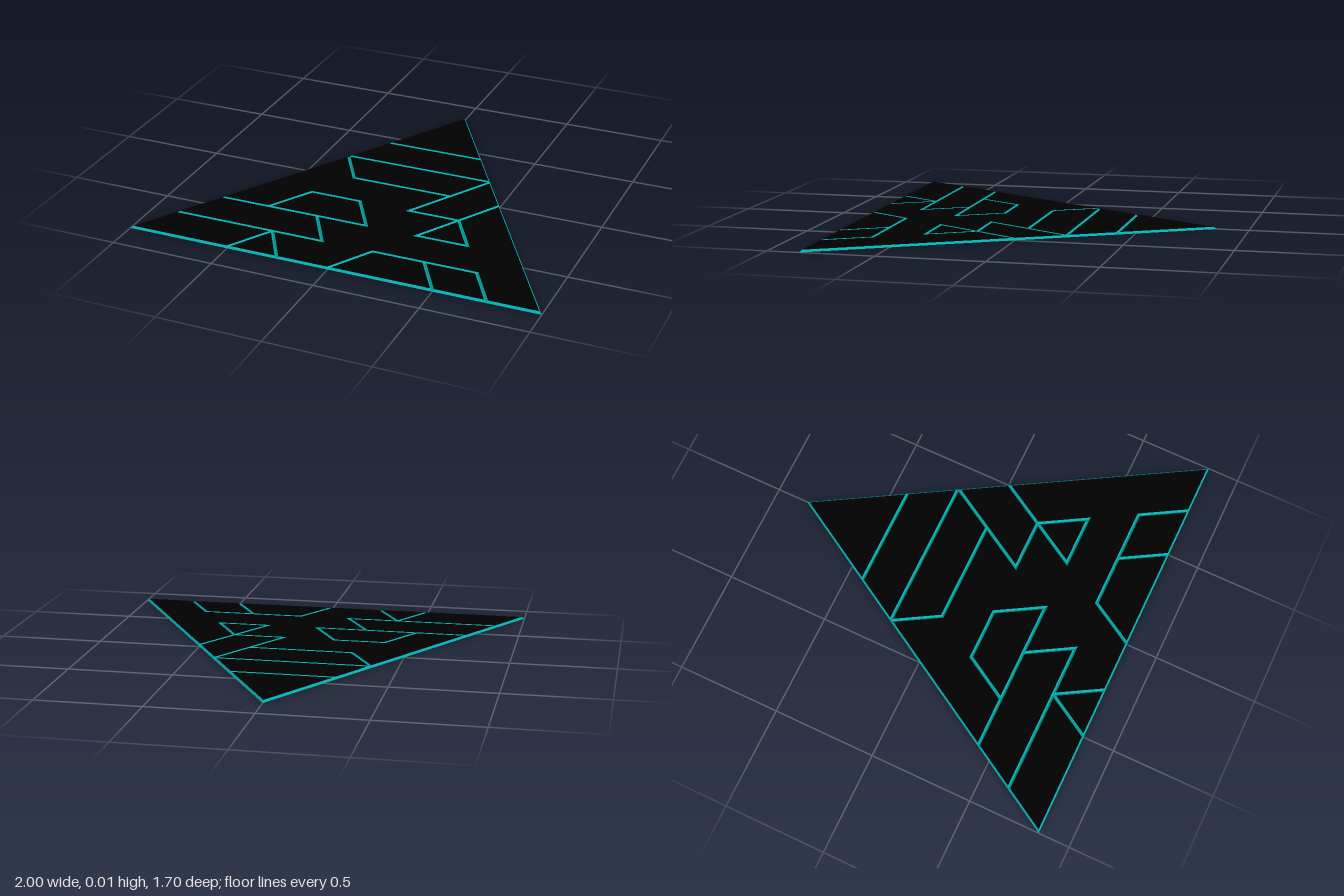
import * as THREE from 'three';

const ROW = 0.2122, HALF = 0.8488; // lattice row depth, half depth of the plate
const HEIGHT = 0.01, BEVEL = 0.008;

// Panel outlines as [x in eighths, lattice row counted from the apex]
const PANELS = {
  apexTriangle: [[0, 0], [2, 2], [-2, 2]],
  upperBand: [[-2, 2], [2, 2], [3, 3], [-3, 3]],
  lowerBand: [[-3, 3], [3, 3], [2, 4], [-2, 4]],
  leftEdgePanel: [[3, 3], [4, 4], [3, 5], [1, 5]],
  leftTriangle: [[3, 5], [4, 6], [2, 6]],
  rightTrapezoid: [[-3, 5], [-1, 5], [0, 6], [-4, 6]],
  rightEdgePanel: [[-6, 6], [-2, 6], [-1, 7], [-7, 7]],
  rightCornerPanel: [[-7, 7], [-3, 7], [-4, 8], [-8, 8]],
  frontTriangle: [[-3, 7], [-2, 8], [-4, 8]],
  frontTrapezoid: [[1, 7], [3, 7], [4, 8], [0, 8]],
  frontSlantedPanel: [[3, 7], [5, 7], [6, 8], [4, 8]],
  mainPanel: [[-3, 3], [-2, 4], [2, 4], [1, 5], [3, 5], [2, 6], [4, 6], [3, 5], [4, 4],
    [8, 8], [6, 8], [5, 7], [1, 7], [0, 8], [-2, 8], [-3, 7], [-1, 7], [-2, 6], [0, 6],
    [-1, 5], [-3, 5], [-4, 6], [-6, 6]],
};

// Move every side of a counter-clockwise outline inward, with mitred corners
function inset(points, amount) {
  const n = points.length;
  const normal = (a, b) => new THREE.Vector2(a.y - b.y, b.x - a.x).normalize();
  return points.map((p, i) => {
    const n1 = normal(points[(i + n - 1) % n], p);
    const n2 = normal(p, points[(i + 1) % n]);
    const k = amount / (1 + n1.dot(n2));
    return n1.clone().add(n2).multiplyScalar(k).add(p);
  });
}

// Raised sheet, open below; group 0 is the face, group 1 the sloping rim
function panelGeometry(outline) {
  const base = outline.map(([x, r]) => new THREE.Vector2(x / 8, HALF - r * ROW));
  if (THREE.ShapeUtils.area(base) < 0) base.reverse();
  const top = inset(base, BEVEL);
  const pos = [];
  const putBase = (i) => pos.push(base[i].x, 0, -base[i].y);
  const putTop = (i) => pos.push(top[i].x, HEIGHT, -top[i].y);

  THREE.ShapeUtils.triangulateShape(top, []).forEach((face) => face.forEach(putTop));
  const faceCount = pos.length / 3;
  for (let i = 0; i < base.length; i++) {
    const j = (i + 1) % base.length;
    putBase(i); putBase(j); putTop(j);
    putBase(i); putTop(j); putTop(i);
  }
  const geometry = new THREE.BufferGeometry();
  geometry.setAttribute('position', new THREE.Float32BufferAttribute(pos, 3));
  geometry.addGroup(0, faceCount, 0);
  geometry.addGroup(faceCount, pos.length / 3 - faceCount, 1);
  geometry.computeVertexNormals();
  return geometry;
}

export function createModel() {
  const black = new THREE.MeshStandardMaterial({ color: 0x000000, side: THREE.DoubleSide });
  black.name = 'black';
  const teal = new THREE.MeshStandardMaterial({ color: 0x00b0b0, side: THREE.DoubleSide });
  teal.name = 'teal';

  const model = new THREE.Group();
  model.name = 'triangularPanelPlate';
  for (const [name, outline] of Object.entries(PANELS)) {
    const mesh = new THREE.Mesh(panelGeometry(outline), [black, teal]);
    mesh.name = name;
    model.add(mesh);
  }
  return model;
}
